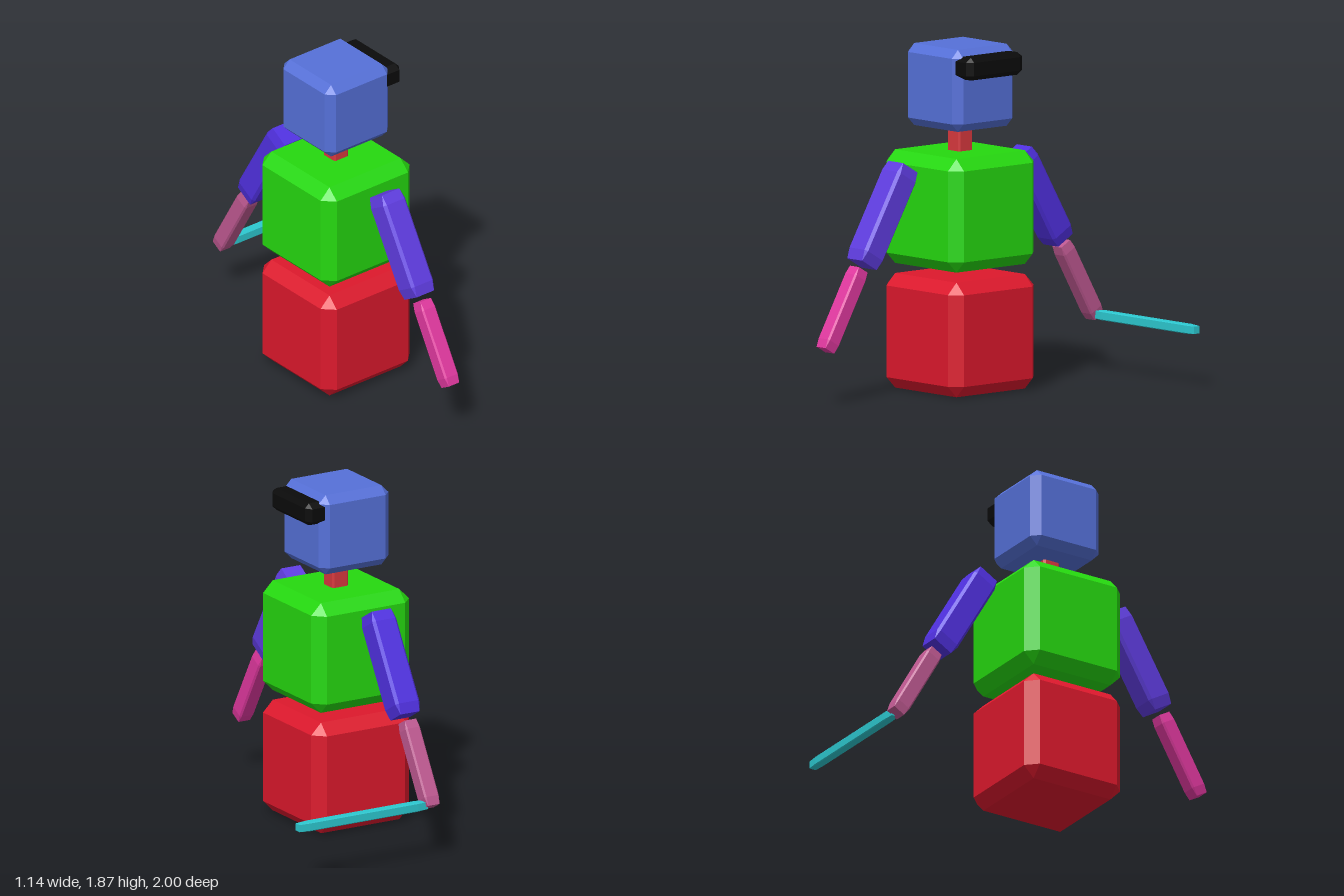
import * as THREE from 'three';
import { ConvexGeometry } from 'three/addons/geometries/ConvexGeometry.js';

const CX = -0.263; // vertical axis of the figure
const CZ = -0.005;

// Box with every edge and corner cut; cuts default to a tenth of each side
function chamferBox(w, h, d, cut = [w * 0.1, h * 0.1, d * 0.1]) {
  const half = [w / 2, h / 2, d / 2];
  const points = [];
  for (const sx of [-1, 1]) for (const sy of [-1, 1]) for (const sz of [-1, 1]) {
    const s = [sx, sy, sz];
    // three points per corner, each lying on one full face
    for (let face = 0; face < 3; face++) {
      points.push(new THREE.Vector3(
        ...s.map((sign, i) => sign * (half[i] - (i === face ? 0 : cut[i])))));
    }
  }
  return new ConvexGeometry(points);
}

function addPart(parent, name, color, size, position, cut) {
  const material = new THREE.MeshStandardMaterial({ color, flatShading: true });
  const mesh = new THREE.Mesh(chamferBox(...size, cut), material);
  mesh.name = name;
  mesh.position.set(...position);
  parent.add(mesh);
  return mesh;
}

export function createModel() {
  const model = new THREE.Group();
  model.name = 'blockFigure';

  // Stacked body
  addPart(model, 'base', 0xdc182c, [0.615, 0.62, 0.615], [CX, 0.31, CZ]);
  addPart(model, 'torso', 0x25d80f, [0.615, 0.615, 0.615], [CX, 0.982, CZ]);
  addPart(model, 'neck', 0xd8383e, [0.1, 0.25, 0.1], [CX, 1.355, CZ]);
  addPart(model, 'head', 0x5570d8, [0.438, 0.444, 0.438], [CX, 1.643, CZ - 0.003]);

  // Dark visor across the +x face of the head
  addPart(model, 'visor', 0x0a0a0a, [0.135, 0.123, 0.405], [-0.033, 1.77, CZ],
    [0.025, 0.025, 0.037]);

  // Arms splay outwards along z
  const arms = [
    { name: 'frontArm', side: 1, upper: 0x5f3ce0, lower: 0xe0389f },
    { name: 'backArm', side: -1, upper: 0x5030e0, lower: 0xbd5890 },
  ];
  for (const { name, side, upper, lower } of arms) {
    const arm = new THREE.Group();
    arm.name = name;
    const upperArm = addPart(arm, 'upperArm', upper, [0.15, 0.58, 0.15],
      [CX, 0.988, CZ + side * 0.558]);
    const forearm = addPart(arm, 'forearm', lower, [0.09, 0.48, 0.09],
      [CX, 0.506, CZ + side * 0.848]);
    upperArm.rotation.x = -side * THREE.MathUtils.degToRad(30.5);
    forearm.rotation.x = -side * THREE.MathUtils.degToRad(30);
    model.add(arm);
  }

  // Rod held at the end of the back arm
  addPart(model, 'rod', 0x2cc8d0, [0.808, 0.05, 0.05], [0.164, 0.311, -0.962],
    [0.065, 0.005, 0.005]);

  return model;
}
